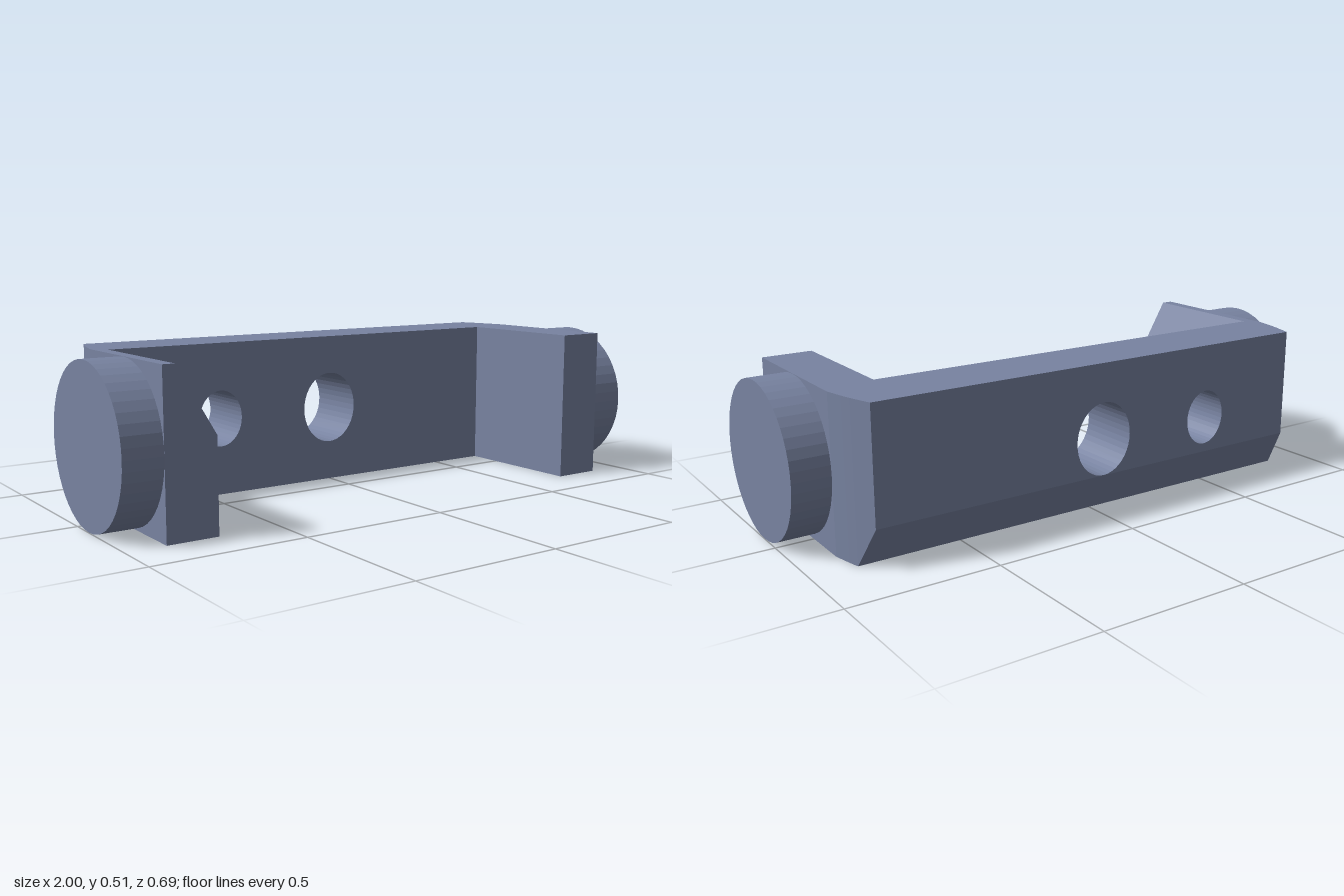
import * as THREE from 'three';
import { mergeGeometries } from 'three/addons/utils/BufferGeometryUtils.js';

const HEIGHT = 0.515;
const BAR_FRONT = -0.12, BACK = -0.345, FRONT = 0.345;
const ARM_OUT = 0.873, ARM_IN = 0.702;

// Walls through rings of [x, y] points, ordered front to back
function loft(rings, zs) {
  const pos = [];
  const n = rings[0].length;
  for (let k = 0; k < rings.length - 1; k++) {
    for (let i = 0; i < n; i++) {
      const j = (i + 1) % n;
      const a = [...rings[k][i], zs[k]], b = [...rings[k][j], zs[k]];
      const c = [...rings[k + 1][j], zs[k + 1]], d = [...rings[k + 1][i], zs[k + 1]];
      pos.push(...a, ...d, ...c, ...a, ...c, ...b);
    }
  }
  const geo = new THREE.BufferGeometry();
  geo.setAttribute('position', new THREE.Float32BufferAttribute(pos, 3));
  geo.computeVertexNormals();
  return geo;
}

const toVectors = (ring) => ring.map(([x, y]) => new THREE.Vector2(x, y));

// Flat face with holes, turned to the back when asked
function cap(ring, holes, z, facesBack) {
  const shape = new THREE.Shape(toVectors(ring));
  holes.forEach((h) => shape.holes.push(new THREE.Path(toVectors(h))));
  const geo = new THREE.ShapeGeometry(shape);
  geo.translate(0, 0, z);
  if (facesBack) geo.index.array.reverse();
  const flat = geo.toNonIndexed();
  flat.deleteAttribute('uv');
  flat.computeVertexNormals();
  return flat;
}

// Clockwise ellipse, so its walls face inwards
function ellipse(cx, cy, rx, ry, n = 40) {
  return Array.from({ length: n }, (_, i) => {
    const t = (-i / n) * Math.PI * 2;
    return [cx + rx * Math.cos(t), cy + ry * Math.sin(t)];
  });
}

function barGeometry() {
  // Cross-sections: depth, half width, bottom edge
  const sections = [
    [BAR_FRONT, ARM_OUT, 0],
    [-0.167, ARM_OUT, 0],
    [-0.23, 0.859, 0],
    [-0.268, 0.849, 0],
    [BACK, 0.823, 0.135],
  ];
  const rings = sections.map(([, w, b]) => [[-w, b], [w, b], [w, HEIGHT], [-w, HEIGHT]]);
  const holes = [ellipse(0, 0.26, 0.107, 0.124), ellipse(-0.44, 0.26, 0.08, 0.095)];
  return mergeGeometries([
    loft(rings, sections.map((s) => s[0])),
    ...holes.map((h) => loft([h, h], [BAR_FRONT, BACK])),
    cap(rings[0], holes, BAR_FRONT, false),
    cap(rings[rings.length - 1], holes, BACK, true),
  ]);
}

// Arm with the given front outline, reaching forward from the bar
function armGeometry(points) {
  const geo = new THREE.ExtrudeGeometry(new THREE.Shape(toVectors(points)), {
    depth: FRONT - BAR_FRONT,
    bevelEnabled: false,
  });
  geo.translate(0, 0, BAR_FRONT);
  return geo;
}

export function createModel() {
  const model = new THREE.Group();
  model.name = 'bracket';
  const material = new THREE.MeshStandardMaterial({ color: 0x7883a1, flatShading: true });
  material.name = 'slate blue';

  const add = (geometry, name) => {
    const mesh = new THREE.Mesh(geometry, material);
    mesh.name = name;
    model.add(mesh);
    return mesh;
  };

  add(barGeometry(), 'backBar');
  add(armGeometry([[ARM_IN, 0], [ARM_OUT, 0], [ARM_OUT, HEIGHT], [ARM_IN, HEIGHT]]), 'leftArm');

  // The right arm has its inner top corner cut off
  add(armGeometry([
    [-ARM_OUT, 0], [-0.705, 0], [-0.705, 0.3], [-0.833, HEIGHT], [-ARM_OUT, HEIGHT],
  ]), 'rightArm');

  // Round bosses on the outer sides of the arms
  for (const side of [1, -1]) {
    const boss = new THREE.CylinderGeometry(0.2565, 0.2565, 1 - ARM_OUT, 48);
    boss.rotateZ(Math.PI / 2);
    const mesh = add(boss, side > 0 ? 'leftBoss' : 'rightBoss');
    mesh.position.set((side * (1 + ARM_OUT)) / 2, 0.2575, 0.0885);
  }

  return model;
}
